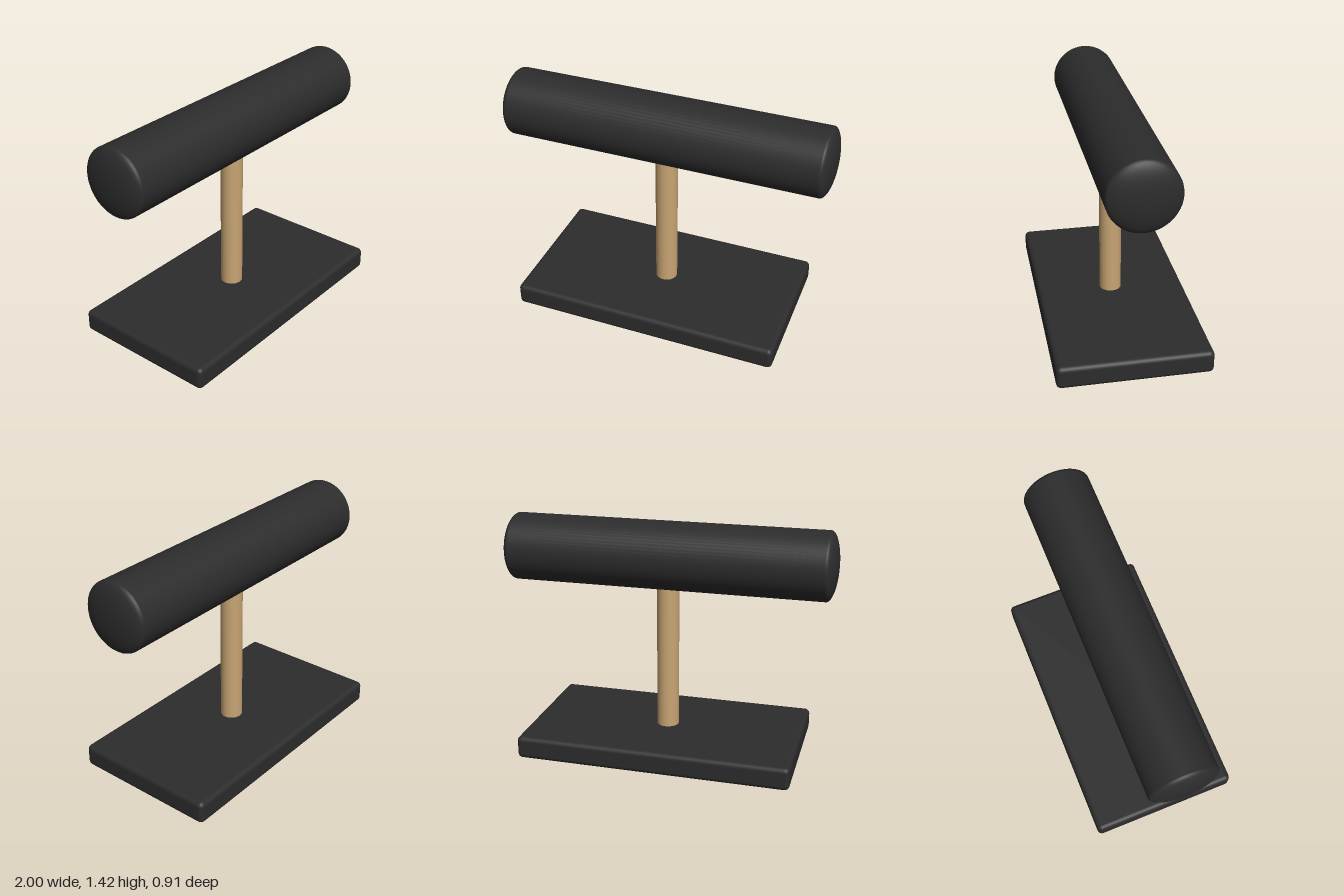
import * as THREE from 'three';
import { RoundedBoxGeometry } from 'three/addons/geometries/RoundedBoxGeometry.js';

export function createModel() {
  const group = new THREE.Group();
  const black = new THREE.MeshStandardMaterial({ color: 0x2c2c2c });
  black.name = 'black velvet';
  const wood = new THREE.MeshStandardMaterial({ color: 0xc8a574 });
  wood.name = 'light wood';

  const add = (name, geometry, material, x, y) => {
    const mesh = new THREE.Mesh(geometry, material);
    mesh.name = name;
    mesh.position.set(x, y, 0);
    group.add(mesh);
  };

  const barRadius = 0.204, barY = 1.214, barHalf = 0.94, capDepth = 0.06;

  // Base slab with softened edges
  add('base', new RoundedBoxGeometry(1.66, 0.14, 0.91, 4, 0.03), black, 0, 0.07);

  // Upright post, sunk slightly into the base and the bar
  add('post', new THREE.CylinderGeometry(0.067, 0.067, 0.96, 48), wood, 0, 0.58);

  // Horizontal bar
  const bar = new THREE.CylinderGeometry(barRadius, barRadius, barHalf * 2, 64, 1, true);
  add('bar', bar.rotateZ(Math.PI / 2), black, 0, barY);

  // Shallow domed ends
  for (const side of [1, -1]) {
    const dome = new THREE.SphereGeometry(1, 64, 16, 0, Math.PI * 2, 0, Math.PI / 2);
    dome.scale(barRadius, capDepth, barRadius).rotateZ(-side * Math.PI / 2);
    add(side > 0 ? 'leftBarEnd' : 'rightBarEnd', dome, black, side * barHalf, barY);
  }

  return group;
}
